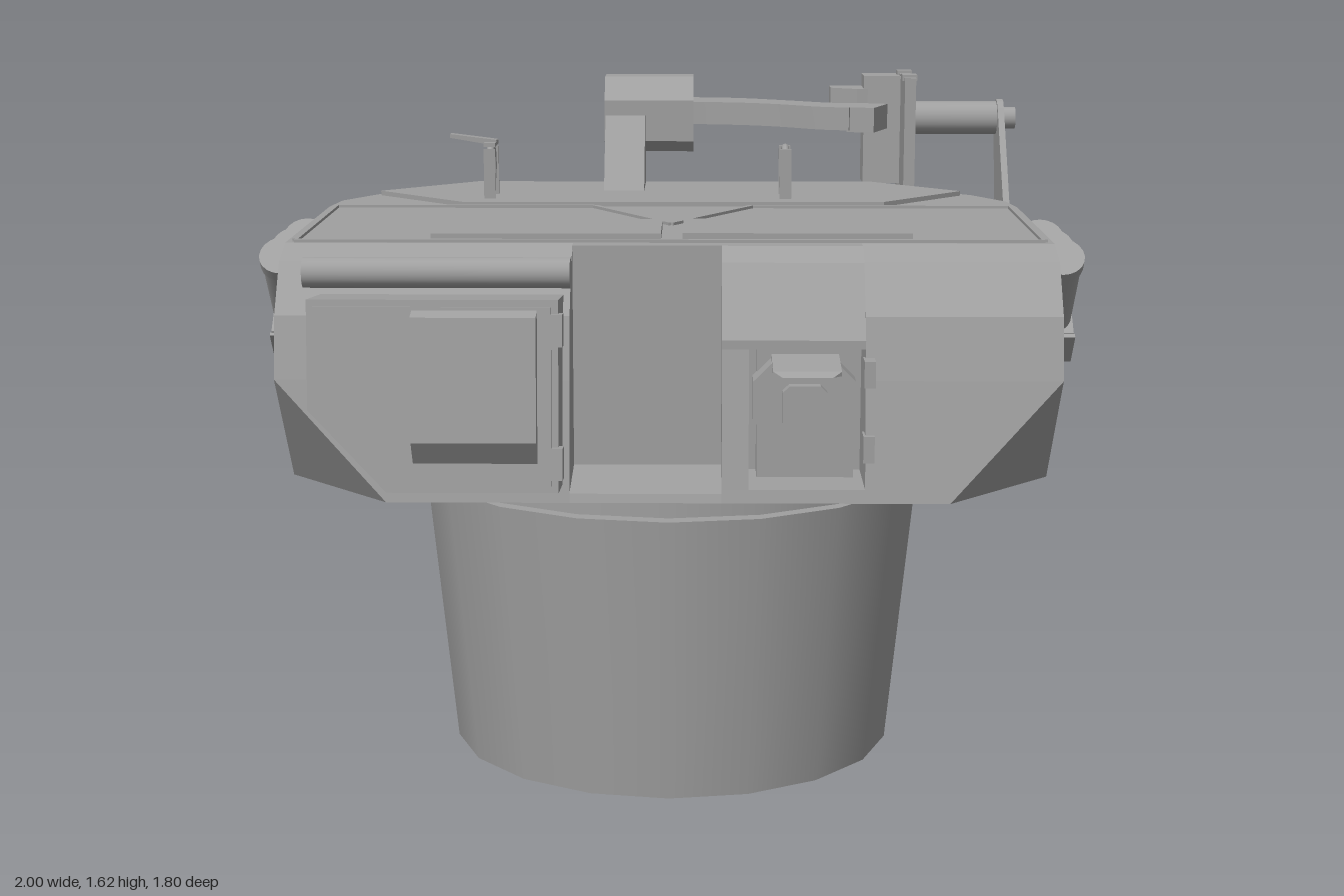
import * as THREE from 'three';
import { ConvexGeometry } from 'three/addons/geometries/ConvexGeometry.js';
import { toCreasedNormals } from 'three/addons/utils/BufferGeometryUtils.js';

export function createModel() {
  const root = new THREE.Group();
  root.name = 'turret';
  const grey = new THREE.MeshStandardMaterial({ color: 0xa0a0a0 });
  grey.name = 'armour grey';

  const add = (name, geo, parent = root) => {
    const m = new THREE.Mesh(geo, grey);
    m.name = name;
    parent.add(m);
    return m;
  };
  const extrude = (pts, depth) => new THREE.ExtrudeGeometry(
    new THREE.Shape(pts.map(p => new THREE.Vector2(p[0], p[1]))), { depth, bevelEnabled: false });
  // side profile of [z, y] points, from x0 to x1
  const side = (name, pts, x0, x1) =>
    add(name, extrude(pts, x1 - x0).rotateY(-Math.PI / 2).translate(x1, 0, 0));
  // plan of [x, z] points, from y0 to y1
  const planGeo = (pts, y0, y1) => extrude(pts, y1 - y0).rotateX(Math.PI / 2).translate(0, y1, 0);
  const plan = (name, pts, y0, y1) => add(name, planGeo(pts, y0, y1));
  // box by its limits
  const box = (name, x0, x1, y0, y1, z0, z1, parent) => add(name,
    new THREE.BoxGeometry(x1 - x0, y1 - y0, z1 - z0)
      .translate((x0 + x1) / 2, (y0 + y1) / 2, (z0 + z1) / 2), parent);
  const hull = (name, pts, parent) =>
    add(name, new ConvexGeometry(pts.map(p => new THREE.Vector3(...p))), parent);
  const rod = (name, r, x0, x1, y, z) => add(name,
    new THREE.CylinderGeometry(r, r, x1 - x0, 20).rotateZ(Math.PI / 2).translate((x0 + x1) / 2, y, z));

  // Basket and ring
  add('basket', new THREE.CylinderGeometry(0.617, 0.548, 0.69, 18).translate(0, 0.345, -0.005));
  add('turretRing', new THREE.CylinderGeometry(0.617, 0.617, 0.06, 18).translate(0, 0.73, -0.005));

  // Rear hull with rounded rear corners
  const half = [[0.88, 0.1], [0.88, -0.22], [0.865, -0.35], [0.79, -0.49], [0.55, -0.725]];
  const outline = [...half, ...half.map(([x, z]) => [-x, z]).reverse()];
  add('rearHull', toCreasedNormals(planGeo(outline, 0.76, 1.31), 0.65));

  // Front hull: two cheeks with cut lower corners
  const nose = [[0.46, 1.31], [0.55, 1.28], [0.635, 1.17], [0.665, 1.03]];
  const cheek = (name, s, inner) => {
    const pts = [[s * 0.88, 1.31, 0.1], [s * 0.88, 0.76, 0.1], [s * 0.88, 0.76, 0.44],
      [inner, 1.31, 0.1], [inner, 0.76, 0.1], [inner, 0.76, 0.71], [s * 0.63, 0.76, 0.71]];
    for (const [z, y] of nose) pts.push([s * 0.88, y, z], [inner, y, z]);
    hull(name, pts);
  };
  cheek('leftCheek', 1, 0.44);
  cheek('rightCheek', -1, -0.22);

  // Open bay in the middle of the front
  box('bayBackWall', -0.22, 0.12, 0.76, 1.31, 0.1, 0.5);
  side('bayFloor', [[0.5, 0.76], [0.71, 0.76], [0.705, 0.78], [0.5, 0.8]], -0.22, 0.12);

  // Sight housing with a window recess
  box('sightBackWall', 0.12, 0.44, 0.76, 1.31, 0.1, 0.5);
  side('sightHood', [[0.5, 1.31], [0.56, 1.28], [0.66, 1.12], [0.66, 1.1], [0.5, 1.1]], 0.12, 0.44);
  side('sightSill', [[0.5, 0.76], [0.71, 0.76], [0.705, 0.79], [0.5, 0.79]], 0.12, 0.44);
  side('sightPost', [[0.5, 0.79], [0.705, 0.79], [0.66, 1.1], [0.5, 1.1]], 0.12, 0.18);
  box('sightBody', 0.2, 0.42, 0.79, 1.1, 0.5, 0.58);
  const octagon = (w, h, c) => [[-w, -h + c], [-w + c, -h], [w - c, -h], [w, -h + c],
    [w, h - c], [w - c, h], [-w + c, h], [-w, h - c]];
  add('sightCamera', extrude(octagon(0.115, 0.085, 0.04), 0.08).translate(0.305, 0.98, 0.57));
  add('sightLens', extrude(octagon(0.05, 0.05, 0.015), 0.04).translate(0.305, 0.97, 0.64));
  hull('sightVisor', [[0.23, 1.08, 0.66], [0.38, 1.08, 0.66], [0.23, 1.09, 0.66], [0.38, 1.09, 0.66],
    [0.23, 1.065, 0.79], [0.25, 1.065, 0.81], [0.36, 1.065, 0.81], [0.38, 1.065, 0.79],
    [0.23, 1.075, 0.79], [0.38, 1.075, 0.79]]);
  for (const y of [0.85, 1.02]) box('sightHinge', 0.435, 0.46, y, y + 0.06, 0.64, 0.7);

  // Tilted stowage box on the right front
  const stowage = new THREE.Group();
  stowage.name = 'stowageBox';
  stowage.position.set(0, 0.8, 0.69);
  stowage.rotation.x = -0.1;
  root.add(stowage);
  const boxFace = [[-0.78, 0.42], [-0.78, 0.18], [-0.61, 0], [-0.235, 0], [-0.235, 0.42]];
  add('stowageShell', extrude(boxFace, 0.25).translate(0, 0, -0.09), stowage);
  const lidFace = [[-0.765, 0.405], [-0.765, 0.187], [-0.6, 0.015], [-0.25, 0.015], [-0.25, 0.405]];
  add('stowageLid', extrude(lidFace, 0.015).translate(0, 0, 0.16), stowage);
  const pack = [];
  for (const x of [-0.55, -0.28]) {
    pack.push([x, 0.06, 0.17], [x, 0.4, 0.17], [x, 0.115, 0.215], [x, 0.385, 0.215]);
  }
  hull('lidPack', pack, stowage);
  for (const y of [0.03, 0.32]) box('lidHinge', -0.25, -0.225, y, y + 0.07, 0.13, 0.185, stowage);
  rod('hoodRoll', 0.035, -0.82, -0.22, 1.26, 0.585);

  // Roof plates and seams
  const roofHatch = [[-0.54, -0.7], [0.54, -0.7], [0.76, -0.48], [0.54, -0.235], [-0.54, -0.225], [-0.78, -0.47]];
  plan('rearRoofPlate', roofHatch, 1.3, 1.322);
  box('roofPlateRight', -0.55, -0.02, 1.305, 1.328, 0.16, 0.43);
  box('roofPlateLeft', 0.03, 0.56, 1.305, 1.328, 0.15, 0.42);
  const seam = (a, b) => {
    const dx = b[0] - a[0], dz = b[1] - a[1];
    const m = add('roofSeam', new THREE.BoxGeometry(Math.hypot(dx, dz), 0.012, 0.014));
    m.position.set((a[0] + b[0]) / 2, 1.311, (a[1] + b[1]) / 2);
    m.rotation.y = -Math.atan2(dz, dx);
  };
  seam([-0.86, 0.45], [0.86, 0.44]);
  for (const s of [-1, 1]) {
    seam([s * 0.2, -0.205], [0, 0.14]);
    seam([s * 0.2, -0.205], [s * 0.86, -0.205]);
    seam([s * 0.86, -0.205], [s * 0.86, 0.44]);
  }

  // Lifting eyes
  for (const x of [-0.475, 0.29]) {
    add('eyeRing', new THREE.TorusGeometry(0.045, 0.01, 8, 20).rotateY(Math.PI / 2).translate(x, 1.405, -0.355));
    for (const z of [-0.41, -0.305]) box('eyePost', x - 0.015, x + 0.015, 1.31, 1.45, z, z + 0.008);
  }
  box('eyeTop', -0.49, -0.46, 1.455, 1.465, -0.41, -0.3);
  hull('eyeFlap', [[-0.58, 1.475, -0.37], [-0.58, 1.475, -0.335], [-0.58, 1.485, -0.335], [-0.58, 1.485, -0.37],
    [-0.46, 1.455, -0.37], [-0.46, 1.455, -0.335], [-0.46, 1.47, -0.335], [-0.46, 1.47, -0.37]]);

  // Side panels and tilted launcher tubes, mirrored
  const panel = [[0.3, 0.93], [0.38, 0.85], [0.44, 0.85], [0.615, 1.03], [0.605, 1.12], [0.53, 1.21], [0.38, 1.21], [0.3, 1.13]];
  for (const s of [-1, 1]) {
    side('sidePanel', panel, s * 0.88 - 0.004, s * 0.88 + 0.004);
    for (let i = 0; i < 3; i++) {
      const g = new THREE.Group();
      g.name = 'launcher';
      g.position.set(s * 0.942, 1.145, 0.06 - i * 0.178);
      g.rotation.x = 0.75;
      root.add(g);
      add('tube', new THREE.CylinderGeometry(0.052, 0.052, 0.23, 20), g);
      add('tubeCap', new THREE.CylinderGeometry(0.057, 0.057, 0.03, 20).translate(0, 0.11, 0), g);
      box('tubeBase', -0.055, 0.055, -0.135, -0.11, -0.055, 0.055, g);
      box('tubeMount', s > 0 ? -0.075 : 0, s > 0 ? 0 : 0.075, -0.1, -0.04, -0.02, 0.02, g);
    }
    side('launcherBracket', [[0.025, 1.025], [0.032, 1.018], [-0.033, 0.945], [-0.04, 0.952]],
      s > 0 ? 0.87 : -1, s > 0 ? 1 : -0.87);
    box('launcherRail', s > 0 ? 0.87 : -0.9, s > 0 ? 0.9 : -0.87, 1.05, 1.11, -0.4, 0.05);
  }

  // Swing arm on the left rear
  const arm = [[-0.41, 0.92], [-0.54, 0.92], [-0.6, 0.97]];
  for (let i = 0; i <= 6; i++) {
    const a = Math.PI * (1.1 - i * 0.15);
    arm.push([-0.725 + 0.052 * Math.cos(a), 1.495 + 0.052 * Math.sin(a)]);
  }
  arm.push([-0.41, 1.16]);
  side('swingArm', arm, 0.878, 0.895);
  box('armMount', 0.76, 0.88, 0.95, 1.15, -0.51, -0.42);
  rod('armBarrel', 0.045, 0.64, 0.895, 1.495, -0.73);
  rod('armPin', 0.03, 0.89, 0.93, 1.495, -0.73);
  side('rearPlate', [[-0.62, 1.61], [-0.91, 1.61], [-0.91, 1.27], [-0.62, 0.965]], 0.62, 0.65);
  plan('plateBlock', [[0.52, -0.9], [0.52, -0.78], [0.62, -0.77], [0.62, -0.9]], 1.31, 1.605);
  plan('plateLug', [[0.43, -0.905], [0.43, -0.82], [0.5, -0.77], [0.53, -0.77], [0.53, -0.905]], 1.455, 1.57);
  for (const z of [-0.87, -0.7]) box('plateBolt', 0.615, 0.655, 1.6, 1.617, z, z + 0.05);

  // Feed head, its leg and curved chute
  side('feedHead', [[-0.62, 1.44], [-0.62, 1.55], [-0.68, 1.61], [-0.78, 1.61],
    [-0.82, 1.56], [-0.82, 1.43], [-0.79, 1.41], [-0.65, 1.41]], -0.19, 0.05);
  side('feedLeg', [[-0.47, 1.31], [-0.61, 1.51], [-0.72, 1.5], [-0.66, 1.31]], -0.187, -0.08);
  const outer = new THREE.SplineCurve([[0.04, -0.8], [0.18, -0.77], [0.32, -0.68], [0.42, -0.61], [0.51, -0.595]]
    .map(p => new THREE.Vector2(...p))).getPoints(14);
  const inner = new THREE.SplineCurve([[0.46, -0.45], [0.38, -0.48], [0.28, -0.56], [0.18, -0.61], [0.04, -0.64]]
    .map(p => new THREE.Vector2(...p))).getPoints(14);
  const chute = [...outer, ...inner].map(p => [p.x, p.y]);
  add('feedChute', toCreasedNormals(planGeo(chute, 1.485, 1.545), 0.6));
  plan('chuteMouth', [[0.505, -0.6], [0.57, -0.575], [0.525, -0.44], [0.455, -0.46]], 1.48, 1.545);

  // Rear door and hinges
  box('rearDoor', -0.28, 0.32, 0.84, 1.26, -0.73, -0.72);
  for (const y of [0.93, 1.13]) box('doorHinge', 0.25, 0.33, y, y + 0.05, -0.745, -0.72);

  return root;
}
